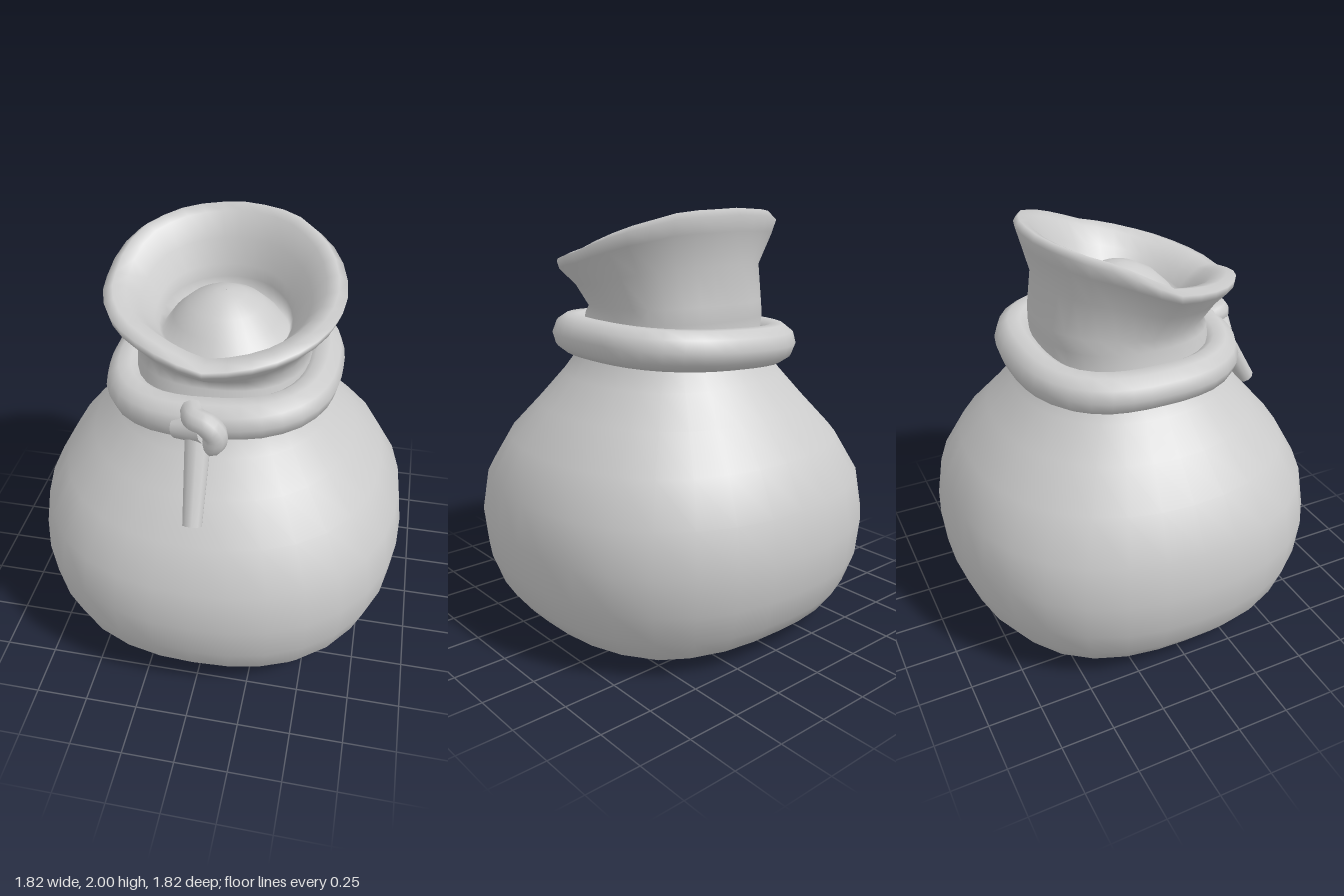
import * as THREE from 'three';

const SEG = 32;
const material = new THREE.MeshStandardMaterial({ color: 0xcccccc, side: THREE.DoubleSide });

// Rounded-square outline: t = 0 faces +z and turns toward +x
function outline(t, rx, rz, n) {
  const s = Math.sin(t), c = Math.cos(t);
  const k = Math.pow(Math.abs(s) ** n + Math.abs(c) ** n, -1 / n);
  return [rx * k * s, rz * k * c];
}

// Wavy, tilted height of the mouth's rim, every 30 degrees from the front
const RIM = [1.685, 1.72, 1.77, 1.825, 1.92, 1.99, 2.0, 1.985, 1.94, 1.82, 1.78, 1.75];
function rimHeight(t) {
  const f = (t / (Math.PI * 2)) * 12, i = Math.floor(f);
  return THREE.MathUtils.lerp(RIM[i % 12], RIM[(i + 1) % 12], f - i);
}

// Skin a list of rings (each a function of angle giving [x, y, z])
function loft(rings) {
  const pos = [], index = [];
  rings.forEach((ring, j) => {
    for (let i = 0; i < SEG; i++) {
      pos.push(...ring((i / SEG) * Math.PI * 2));
      if (j === rings.length - 1) continue;
      const a = j * SEG + i, b = j * SEG + ((i + 1) % SEG);
      index.push(a, b, a + SEG, b, b + SEG, a + SEG);
    }
  });
  const g = new THREE.BufferGeometry();
  g.setAttribute('position', new THREE.Float32BufferAttribute(pos, 3));
  g.setIndex(index);
  g.computeVertexNormals();
  return g;
}

// Ring at a fixed height; sag lowers its four corners
const flat = (y, r, n, sag = 0) => (t) => {
  const [x, z] = outline(t, r, r, n);
  return [x, y + sag * Math.cos(4 * t), z];
};
// Ring whose height blends from the neck (0) to the rim (1)
const tilted = (b, rx, rz, z0, n = 2) => (t) => {
  const [x, z] = outline(t, rx, rz, n);
  return [x, THREE.MathUtils.lerp(1.5, rimHeight(t), b), z + z0];
};

function add(parent, name, geometry) {
  const mesh = new THREE.Mesh(geometry, material);
  mesh.name = name;
  parent.add(mesh);
  return mesh;
}

// Capped straight cord between two points
function cord(parent, name, from, to, r0, r1) {
  const a = new THREE.Vector3(...from), b = new THREE.Vector3(...to);
  const dir = b.clone().sub(a);
  const mesh = add(parent, name, new THREE.CylinderGeometry(r1, r0, dir.length(), 10));
  mesh.position.copy(a).add(b).multiplyScalar(0.5);
  mesh.quaternion.setFromUnitVectors(new THREE.Vector3(0, 1, 0), dir.normalize());
}

export function createModel() {
  const model = new THREE.Group();
  model.name = 'tiedSack';

  // Sack: dented base on four soft corners, belly, neck, flared lip, then the inside
  add(model, 'sack', loft([
    flat(0.05, 0.001, 2), flat(0.042, 0.25, 2.2, 0.003), flat(0.016, 0.5, 2.8, 0.014),
    flat(0.038, 0.65, 2.6, 0.012), flat(0.095, 0.755, 2.45, 0.006), flat(0.2, 0.835, 2.35),
    flat(0.35, 0.892, 2.3), flat(0.53, 0.91, 2.3), flat(0.73, 0.88, 2.28),
    flat(0.92, 0.775, 2.25), flat(1.08, 0.635, 2.2), flat(1.22, 0.515, 2.2),
    flat(1.32, 0.44, 2.25), flat(1.42, 0.405, 2.35),
    tilted(0, 0.4, 0.4, -0.01, 2.45), tilted(0.15, 0.395, 0.395, -0.02, 2.3),
    tilted(0.5, 0.44, 0.435, 0.035), tilted(0.8, 0.522, 0.483, 0.045),
    tilted(0.94, 0.54, 0.492, 0.035), tilted(1, 0.5, 0.46, 0.025),
    tilted(0.95, 0.445, 0.405, 0.015), tilted(0.72, 0.385, 0.355, 0.01),
    tilted(0.48, 0.325, 0.315, 0.005), tilted(0.36, 0.305, 0.305, 0.005),
    // contents swelling up inside the mouth
    flat(1.58, 0.29, 2), flat(1.65, 0.24, 2), flat(1.715, 0.17, 2),
    flat(1.757, 0.09, 2), flat(1.769, 0.04, 2), flat(1.771, 0.001, 2),
  ]));

  // Rope around the neck, a little higher on the left
  const ropePoints = [];
  for (let i = 0; i < 24; i++) {
    const [x, z] = outline((i / 24) * Math.PI * 2, 0.455, 0.455, 2.65);
    ropePoints.push(new THREE.Vector3(x, 1.384 + 0.06 * x, z - 0.015));
  }
  const ropePath = new THREE.CatmullRomCurve3(ropePoints, true);
  add(model, 'neckRope', new THREE.TubeGeometry(ropePath, 40, 0.094, 10, true));

  // Knot: a loop over the rope, a short stub and the hanging tail
  const knot = new THREE.Group();
  knot.name = 'knot';
  model.add(knot);
  const loop = new THREE.CatmullRomCurve3([
    [-0.06, 1.43, 0.46], [-0.03, 1.437, 0.53], [0.03, 1.43, 0.555],
    [0.062, 1.385, 0.555], [0.045, 1.33, 0.545], [-0.01, 1.32, 0.48],
  ].map((p) => new THREE.Vector3(...p)));
  add(knot, 'knotLoop', new THREE.TubeGeometry(loop, 20, 0.055, 10));
  cord(knot, 'knotStub', [-0.125, 1.365, 0.51], [0.01, 1.4, 0.545], 0.045, 0.06);
  cord(knot, 'ropeTail', [-0.02, 1.37, 0.515], [-0.005, 1.02, 0.74], 0.06, 0.044);

  return model;
}
